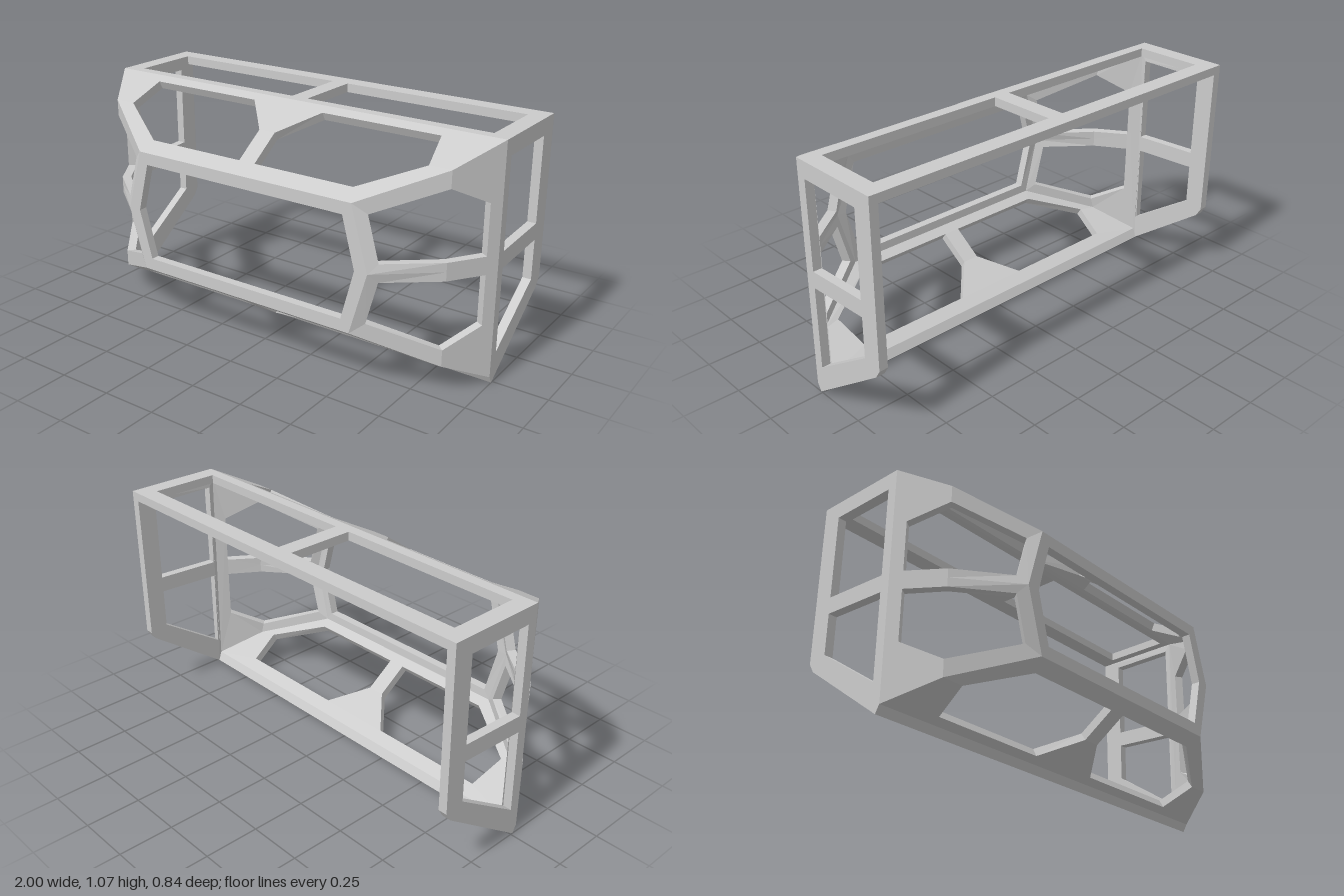
import * as THREE from 'three';

const THICK = 0.04, MID = 0.55;
const CORE = new THREE.Vector3(0, MID, -0.1);
const V = (x, y, z) => new THREE.Vector3(x, y, z);
const flipX = (p) => V(-p.x, p.y, p.z);
const flipY = (p) => V(p.x, 2 * MID - p.y, p.z);
const key = (p) => [p.x, p.y, p.z].map((n) => Math.round(n * 1e4)).join();

// A flat panel: outline and holes as 3D loops, triangulated to face outward
function makePanel(name, outline, holes = []) {
  const normal = V(0, 0, 0), centre = V(0, 0, 0);
  outline.forEach((p, i) => {
    normal.add(V(0, 0, 0).crossVectors(p, outline[(i + 1) % outline.length]));
    centre.addScaledVector(p, 1 / outline.length);
  });
  normal.normalize();
  if (normal.dot(centre.sub(CORE)) < 0) normal.negate();
  const size = normal.toArray().map(Math.abs);
  const drop = size.indexOf(Math.max(...size));
  const flat = (p) => new THREE.Vector2(...p.toArray().filter((_, i) => i !== drop));
  const pts = [outline, ...holes].flat();
  const tris = THREE.ShapeUtils.triangulateShape(outline.map(flat), holes.map((h) => h.map(flat)))
    .map((t) => {
      const [a, b, c] = t.map((i) => pts[i]);
      const n = b.clone().sub(a).cross(c.clone().sub(a));
      return n.dot(normal) > 0 ? [a, b, c] : [a, c, b];
    });
  return { name, normal, pts, tris };
}

// Thickens all panels inward with mitred joints; open edges get walls
function thicken(panels) {
  const normals = new Map(), edges = new Map();
  const edge = (a, b) => [key(a), key(b)].sort().join('|');
  for (const { normal, pts, tris } of panels) {
    for (const p of pts) {
      const list = normals.get(key(p)) ?? [];
      if (!list.some((n) => n.dot(normal) > 0.999)) list.push(normal);
      normals.set(key(p), list);
    }
    for (const t of tris) t.forEach((a, i) => {
      const e = edge(a, t[(i + 1) % 3]);
      edges.set(e, (edges.get(e) ?? 0) + 1);
    });
  }
  const inner = (p) => {
    const list = normals.get(key(p));
    const n = list.reduce((s, v) => s.add(v), V(0, 0, 0)).normalize();
    const fit = list.reduce((s, v) => s + v.dot(n), 0) / list.length;
    return p.clone().addScaledVector(n, -THICK / fit);
  };
  const material = new THREE.MeshStandardMaterial({ color: 0xcccccc, flatShading: true });
  return panels.map(({ name, tris }) => {
    const out = [];
    for (const t of tris) {
      const [a, b, c] = t;
      out.push(a, b, c, inner(c), inner(b), inner(a));
      t.forEach((p, i) => {
        const q = t[(i + 1) % 3];
        if (edges.get(edge(p, q)) === 1) out.push(q, p, inner(p), q, inner(p), inner(q));
      });
    }
    const geometry = new THREE.BufferGeometry().setFromPoints(out);
    geometry.computeVertexNormals();
    const mesh = new THREE.Mesh(geometry, material);
    mesh.name = name;
    return mesh;
  });
}

export function createModel() {
  const panels = [];
  const add = (name, outline, holes) => panels.push(makePanel(name, outline, holes));
  // Completes a half loop with its mirror image
  const mirrored = (half, flip) => [...half, ...half.map(flip).reverse()];

  // Roof with two openings
  const roof = (x, z) => V(x, 1.065, z);
  const roofHole = [roof(0.04, -0.34), roof(0.92, -0.34), roof(0.92, -0.02), roof(0.04, -0.02)];
  add('roofFrame', [roof(-1, -0.42), roof(1, -0.42), roof(1, 0.03), roof(-1, 0.03)],
    [roofHole, roofHole.map(flipX)]);

  // Sloping bands above and below the front window
  const bandRear = mirrored([V(1, 1.065, 0.03), V(0.87, 0.97, 0.22), V(0.77, 0.97, 0.22),
    V(0.74, 1.045, 0.07), V(0.18, 1.045, 0.07), V(0.04, 0.97, 0.22)], flipX);
  const bandFront = mirrored([V(0.55, 0.83, 0.42), V(0.87, 0.97, 0.22), V(0.77, 0.97, 0.22),
    V(0.52, 0.872, 0.36), V(0.04, 0.872, 0.36), V(0.04, 0.97, 0.22)], flipX);
  // The front bar runs between the two openings, so its opening side is closed by the strut
  add('upperRearBand', bandRear);
  add('upperFrontBand', bandFront);
  add('lowerRearBand', bandRear.map(flipY));
  add('lowerFrontBand', bandFront.map(flipY));

  // Lip along the bottom edge
  add('bottomLip', [V(1, 0.035, 0.03), V(1, 0, 0.01), V(-1, 0, 0.01), V(-1, 0.035, 0.03)]);

  // Six-sided front window frame
  const hexagon = (x, xMid, y) => [V(x, y, 0.42), V(xMid, MID, 0.42), V(x, 2 * MID - y, 0.42),
    V(-x, 2 * MID - y, 0.42), V(-xMid, MID, 0.42), V(-x, y, 0.42)];
  add('frontWindowFrame', hexagon(0.55, 0.63, 0.83), [hexagon(0.51, 0.57, 0.775)]);

  // Upright side frame with two openings
  const wall = (z, y) => V(1, y, z);
  const sideOutline = [wall(0.03, 1.065), wall(-0.42, 1.065), wall(-0.42, 0.33),
    wall(-0.395, 0.29), wall(0.01, 0), wall(0.03, 0.035)];
  const sideHoles = [
    [wall(-0.015, 0.99), wall(-0.33, 0.99), wall(-0.33, 0.605), wall(-0.015, 0.59)],
    [wall(-0.015, 0.515), wall(-0.33, 0.53), wall(-0.33, 0.345), wall(-0.015, 0.135)],
  ];
  // Angled cheek: rear strip, then front strips above and below the middle bar
  const cheek = (z, y) => V(1 - 0.13 * (z - 0.03) / 0.19, y, z);
  const cheekRear = [cheek(0.22, MID), cheek(0.22, 0.59), cheek(0.075, 0.59), cheek(0.075, 0.815),
    cheek(0.22, 0.895), cheek(0.22, 0.97), cheek(0.03, 1.065)];
  const cheekRearLoop = [...cheekRear, ...cheekRear.slice(1).map(flipY).reverse()];
  const cheekFront = [V(0.87, 0.97, 0.22), V(0.55, 0.83, 0.42), V(0.63, MID, 0.42),
    V(0.87, MID, 0.22), V(0.87, 0.59, 0.22), V(0.66, 0.59, 0.385), V(0.606, 0.785, 0.385),
    V(0.87, 0.895, 0.22)];
  for (const [side, flip] of [['left', (p) => p], ['right', flipX]]) {
    add(side + 'SideFrame', sideOutline.map(flip), sideHoles.map((h) => h.map(flip)));
    add(side + 'CheekRear', cheekRearLoop.map(flip));
    add(side + 'CheekUpper', cheekFront.map(flip));
    add(side + 'CheekLower', cheekFront.map(flipY).map(flip));
  }

  const group = new THREE.Group();
  group.name = 'openFrameHousing';
  group.add(...thicken(panels));
  return group;
}
